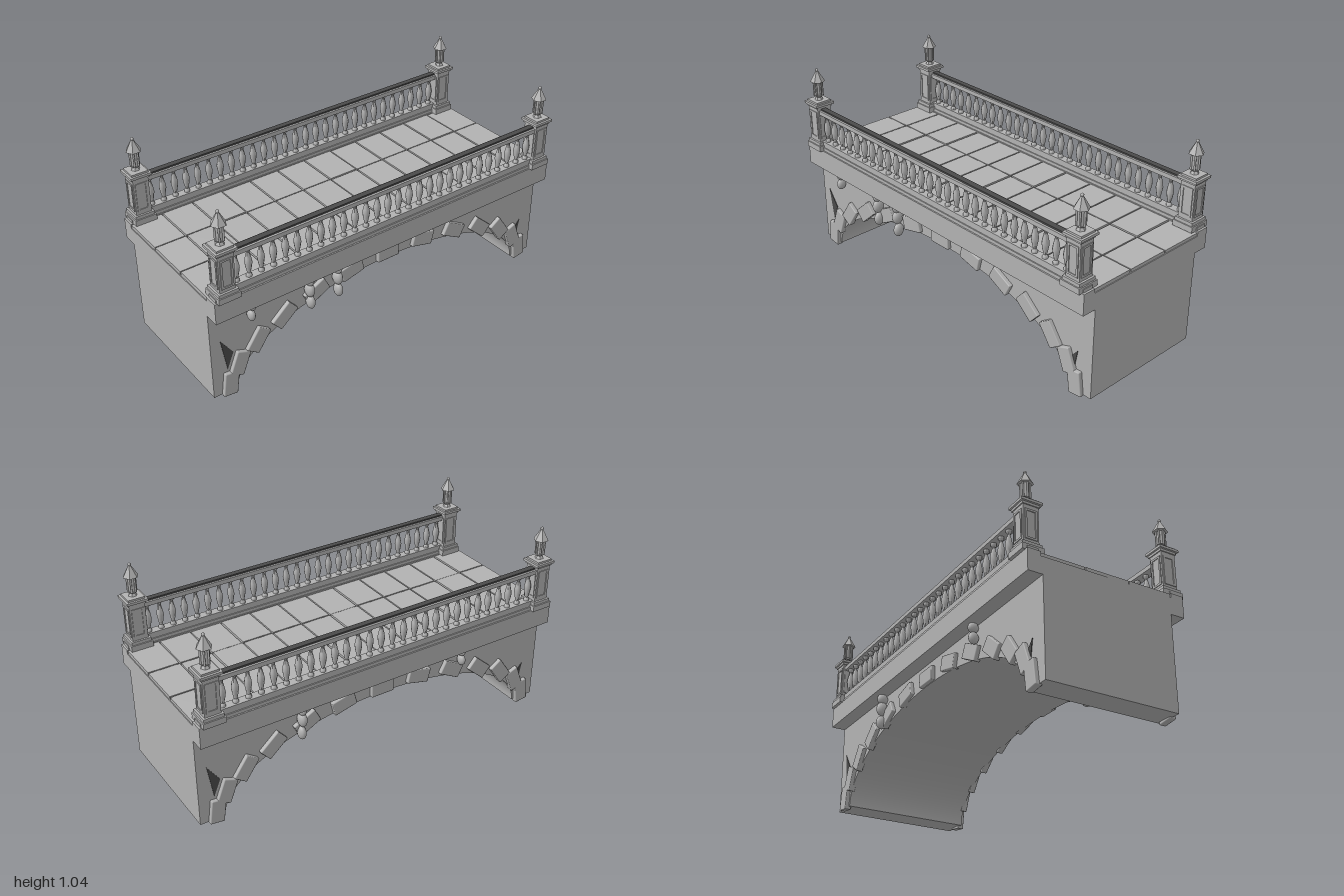
import * as THREE from 'three';
import { toCreasedNormals } from 'three/addons/utils/BufferGeometryUtils.js';
import { RoundedBoxGeometry } from 'three/addons/geometries/RoundedBoxGeometry.js';

const stone = new THREE.MeshStandardMaterial({ color: 0xb2b2b2 });
stone.name = 'stone';
const dark = new THREE.MeshStandardMaterial({ color: 0x4a4a4a });
dark.name = 'dark stone';

function add(parent, name, geometry, x = 0, y = 0, z = 0, material = stone) {
  const mesh = new THREE.Mesh(geometry, material);
  mesh.name = name;
  mesh.position.set(x, y, z);
  parent.add(mesh);
  return mesh;
}

// Box given by its centre in x and z, and its bottom and top heights
function block(parent, name, w, d, y0, y1, x = 0, z = 0, material = stone) {
  return add(parent, name, new THREE.BoxGeometry(w, y1 - y0, d), x, (y0 + y1) / 2, z, material);
}

function lathe(points, sides) {
  const g = new THREE.LatheGeometry(points.map(([r, y]) => new THREE.Vector2(r, y)), sides);
  return toCreasedNormals(g, 0.7);
}

// Pier and vault body with an elliptical opening
function archBody() {
  const s = new THREE.Shape();
  s.moveTo(-1, 0.02);
  s.lineTo(-0.87, 0.02);
  s.absellipse(0, 0.02, 0.87, 0.365, Math.PI, 0, true);
  s.lineTo(1, 0.02);
  s.lineTo(1, 0.5);
  s.lineTo(-1, 0.5);
  s.closePath();
  const g = new THREE.ExtrudeGeometry(s, { depth: 0.68, bevelEnabled: false, curveSegments: 40 });
  g.translate(0, 0, -0.34).rotateY(Math.PI / 2);
  return toCreasedNormals(g, 0.4);
}

// Corner post with stepped base, framed panels, cap and lantern
function post(x, z) {
  const g = new THREE.Group();
  g.name = 'cornerPost';
  g.position.set(x, 0, z);
  block(g, 'postPlinth', 0.112, 0.112, 0.605, 0.635);
  block(g, 'postBase', 0.1, 0.1, 0.635, 0.652);
  block(g, 'postShaft', 0.08, 0.08, 0.652, 0.84);
  for (let i = 0; i < 4; i++) {
    const side = new THREE.Group();
    side.name = 'postPanelFrame';
    side.rotation.y = i * Math.PI / 2;
    for (const s of [-1, 1]) {
      block(side, 'frameStile', 0.01, 0.006, 0.67, 0.82, s * 0.026, 0.041);
      const y = s > 0 ? 0.81 : 0.67;
      block(side, 'frameRail', 0.044, 0.006, y, y + 0.01, 0, 0.041);
    }
    g.add(side);
  }
  block(g, 'capNeck', 0.09, 0.09, 0.84, 0.852);
  block(g, 'capSlab', 0.108, 0.108, 0.852, 0.865);
  block(g, 'capTop', 0.086, 0.086, 0.865, 0.875);
  // Lantern
  add(g, 'lanternFoot', lathe([[0, 0.872], [0.024, 0.872], [0.014, 0.888], [0.026, 0.898], [0, 0.898]], 6));
  add(g, 'lanternCore', new THREE.CylinderGeometry(0.02, 0.02, 0.08, 6), 0, 0.936, 0).material = stone;
  for (let i = 0; i < 6; i++) {
    const a = i * Math.PI / 3;
    add(g, 'lanternBar', new THREE.CylinderGeometry(0.005, 0.005, 0.08, 6),
      Math.sin(a) * 0.021, 0.936, Math.cos(a) * 0.021);
  }
  add(g, 'lanternRoof', lathe([[0, 0.973], [0.038, 0.975], [0.007, 1.03], [0, 1.03]], 6));
  add(g, 'finial', new THREE.SphereGeometry(0.008, 10, 8), 0, 1.036, 0);
  return g;
}

// One balustrade between two posts
function balustrade(x) {
  const g = new THREE.Group();
  g.name = 'balustrade';
  block(g, 'bottomRail', 0.045, 1.78, 0.62, 0.655, x);
  block(g, 'topRail', 0.052, 1.78, 0.806, 0.828, x);
  block(g, 'topRailStrip', 0.03, 1.78, 0.828, 0.836, x, 0, dark);
  const profile = lathe([[0, 0.65], [0.014, 0.65], [0.014, 0.664], [0.008, 0.674], [0.014, 0.702],
    [0.018, 0.728], [0.015, 0.75], [0.008, 0.78], [0.008, 0.788], [0.014, 0.796], [0.014, 0.81]], 10);
  const count = 28;
  for (let i = 0; i < count; i++) {
    add(g, 'baluster', profile, x, 0, -0.865 + 1.73 * i / (count - 1));
  }
  return g;
}

// Ring of tilted stones along the arch edge
function archStones(side) {
  const g = new THREE.Group();
  g.name = 'archStones';
  const geo = new RoundedBoxGeometry(0.035, 0.075, 0.127, 1, 0.005);
  for (let i = 0; i < 13; i++) {
    const t = 0.13 + (Math.PI - 0.26) * i / 12;
    const m = add(g, 'archStone', geo, side * 0.343, 0.02 + 0.405 * Math.sin(t), 0.92 * Math.cos(t));
    m.rotation.x = Math.PI / 2 - t;
  }
  return g;
}

// Hanging clump of rounded lumps
function clump(side, z, lumps) {
  const g = new THREE.Group();
  g.name = 'hangingClump';
  for (const [dz, y, r, h] of lumps) {
    const m = add(g, 'lump', new THREE.SphereGeometry(1, 14, 10), side * 0.366, y, z + dz);
    m.scale.set(r * 1.45, h, r);
  }
  return g;
}

export function createModel() {
  const bridge = new THREE.Group();
  bridge.name = 'stoneBridge';
  add(bridge, 'archBody', archBody());
  block(bridge, 'deckSlab', 0.83, 2, 0.498, 0.585);

  // Paving: three columns of twelve slabs
  const columns = [[-0.348, -0.121], [-0.115, 0.112], [0.118, 0.345]];
  for (let r = 0; r < 12; r++) {
    columns.forEach(([a, b], c) => {
      const top = 0.601 + ((r * 7 + c * 5) % 4) * 0.001;
      block(bridge, 'pavingSlab', b - a, 0.159, 0.58, top, (a + b) / 2, -1 + (r + 0.5) / 6);
    });
  }

  for (const side of [-1, 1]) {
    block(bridge, 'curb', 0.067, 2, 0.58, 0.607, side * 0.3815);
    block(bridge, 'curbTop', 0.056, 1.98, 0.607, 0.624, side * 0.38);
    bridge.add(balustrade(side * 0.38), archStones(side));
    for (const end of [-1, 1]) bridge.add(post(side * 0.375, end * 0.93));
  }

  const three = [[0, 0.475, 0.02, 0.03], [0, 0.42, 0.022, 0.038], [-0.004, 0.348, 0.02, 0.036]];
  const two = [[0, 0.478, 0.019, 0.026], [0.004, 0.425, 0.018, 0.03]];
  bridge.add(
    clump(1, 0.475, three), clump(1, 0.315, three), clump(1, 0.79, two),
    clump(1, -0.185, [[0, 0.49, 0.017, 0.022]]),
    clump(-1, -0.46, three), clump(-1, 0.47, two));

  // Dark chips in the pier faces: z, y corner triples
  const chips = [[[0.948, 0.33], [0.885, 0.24], [0.92, 0.155]], [[-0.88, 0.2], [-0.915, 0.24], [-0.9, 0.155]]];
  for (const side of [-1, 1]) {
    for (const chip of chips) {
      const shape = new THREE.Shape(chip.map(([z, y]) => new THREE.Vector2(-z * side, y)));
      const g = new THREE.ExtrudeGeometry(shape, { depth: 0.004, bevelEnabled: false });
      g.rotateY(Math.PI / 2);
      add(bridge, 'wallChip', g, side > 0 ? 0.339 : -0.343, 0, 0, dark);
    }
  }
  return bridge;
}
